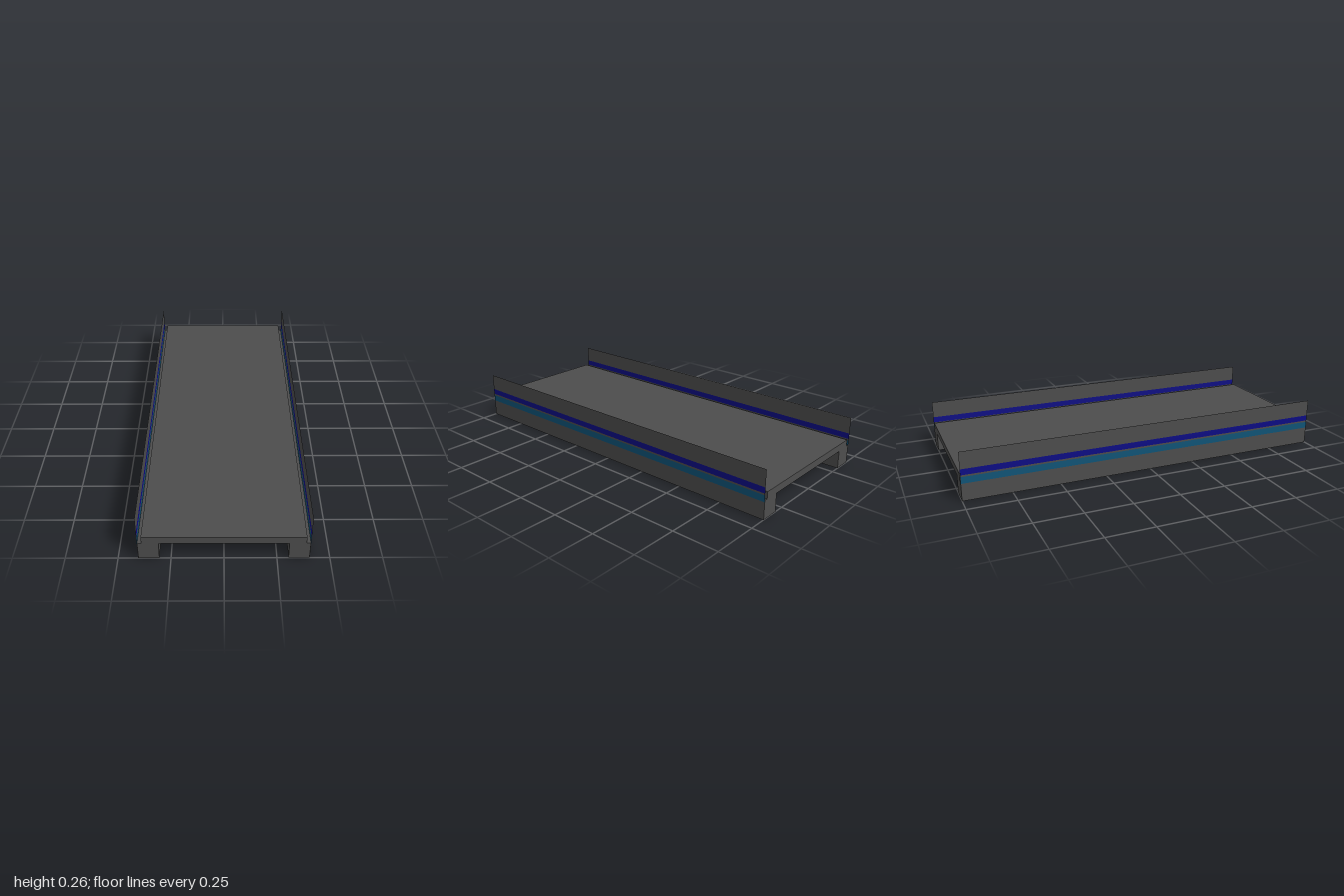
import * as THREE from 'three';

const LENGTH = 2;
const SIDE_X = 0.405;

export function createModel() {
  const grey = new THREE.MeshStandardMaterial({ color: 0x4d4d4d, side: THREE.DoubleSide });
  grey.name = 'dark grey';
  const blue = new THREE.MeshStandardMaterial({ color: 0x0b0b85, side: THREE.DoubleSide });
  blue.name = 'deep blue';
  const teal = new THREE.MeshStandardMaterial({ color: 0x0f5478, side: THREE.DoubleSide });
  teal.name = 'teal blue';

  const model = new THREE.Group();
  model.name = 'bridgeSection';

  // Full-length bar spanning x0..x1 and y0..y1
  const bar = (name, x0, x1, y0, y1) => {
    const mesh = new THREE.Mesh(new THREE.BoxGeometry(x1 - x0, y1 - y0, LENGTH), grey);
    mesh.position.set((x0 + x1) / 2, (y0 + y1) / 2, 0);
    mesh.name = name;
    return mesh;
  };

  // Deck slab
  model.add(bar('deck', -0.385, 0.385, 0.098, 0.137));

  // Horizontal bands of each thin side wall, bottom to top
  const bands = [
    ['lowerWall', 0, 0.091, grey],
    ['tealStripe', 0.091, 0.126, teal],
    ['stripeGap', 0.126, 0.135, grey],
    ['blueStripe', 0.135, 0.166, blue],
    ['upperWall', 0.166, 0.256, grey],
  ];

  for (const [label, side] of [['left', 1], ['right', -1]]) {
    // Support beam, set just inside the wall sheet
    const inner = side * 0.305, outer = side * (SIDE_X - 0.001);
    model.add(bar(`${label}Beam`, Math.min(inner, outer), Math.max(inner, outer), 0, 0.1));

    // Side wall sheet with painted stripes
    const wall = new THREE.Group();
    wall.name = `${label}Wall`;
    for (const [name, y0, y1, material] of bands) {
      const band = new THREE.Mesh(new THREE.PlaneGeometry(LENGTH, y1 - y0), material);
      band.rotation.y = side * Math.PI / 2;
      band.position.set(side * SIDE_X, (y0 + y1) / 2, 0);
      band.name = name;
      wall.add(band);
    }
    model.add(wall);
  }
  return model;
}
